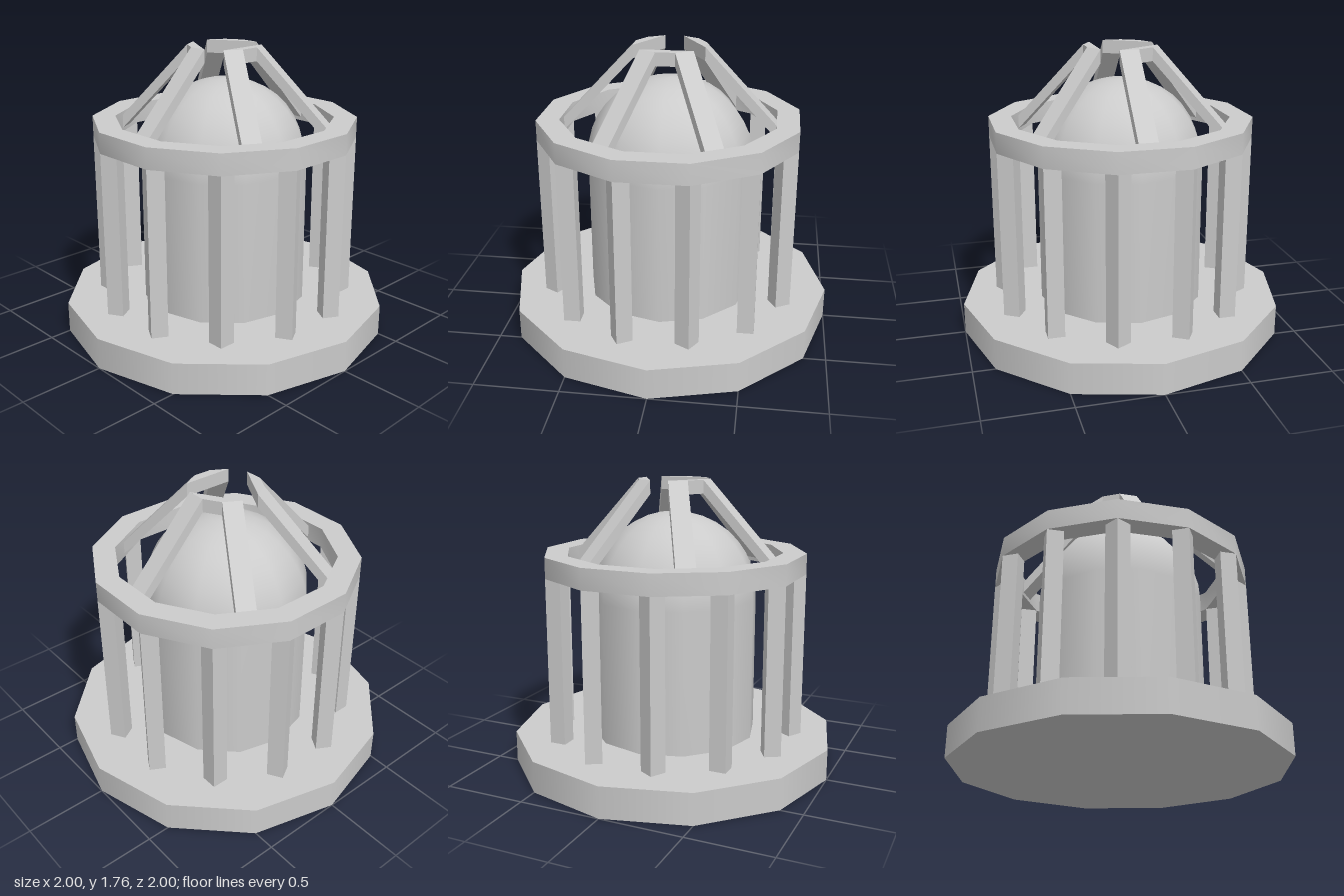
import * as THREE from 'three';
import { toCreasedNormals } from 'three/addons/utils/BufferGeometryUtils.js';

const SIDES = 12;
const smooth = new THREE.MeshStandardMaterial({ color: 0xcccccc });
const flat = new THREE.MeshStandardMaterial({ color: 0xcccccc, flatShading: true });
const v2 = (x, y) => new THREE.Vector2(x, y);

function add(parent, name, geometry, material) {
  const mesh = new THREE.Mesh(geometry, material);
  mesh.name = name;
  parent.add(mesh);
  return mesh;
}

function extrude(points, depth) {
  const shape = new THREE.Shape(points.map(([x, y]) => v2(x, y)));
  return new THREE.ExtrudeGeometry(shape, { depth, bevelEnabled: false });
}

export function createModel() {
  const model = new THREE.Group();
  model.name = 'cagedDome';

  // Twelve-sided foot
  add(model, 'base', new THREE.CylinderGeometry(1, 1, 0.19, SIDES), smooth).position.y = 0.095;

  // Domed cylinder in the middle
  const profile = [v2(0.512, 0.18)];
  for (let i = 0; i <= 9; i++) {
    const a = (i / 9) * Math.PI / 2;
    profile.push(v2(0.512 * Math.cos(a), 1.05 + 0.515 * Math.sin(a)));
  }
  add(model, 'domedCore', new THREE.LatheGeometry(profile, SIDES), smooth);

  // Ring carried by the posts, turned half a side from the base
  const ringProfile = [v2(0.663, 1.2), v2(0.802, 1.2), v2(0.802, 1.325), v2(0.663, 1.325), v2(0.663, 1.2)];
  const ring = new THREE.LatheGeometry(ringProfile, SIDES, Math.PI / SIDES);
  add(model, 'ring', toCreasedNormals(ring, 0.7), smooth);

  // Square posts with an edge facing outwards, one under each ring corner
  const postGeometry = new THREE.CylinderGeometry(0.07, 0.07, 1.01, 4);
  for (let i = 0; i < SIDES; i++) {
    const a = ((i + 0.5) / SIDES) * Math.PI * 2;
    const post = add(model, 'post', postGeometry, flat);
    post.position.set(0.7325 * Math.sin(a), 0.695, 0.7325 * Math.cos(a));
    post.rotation.y = a;
  }

  // Sloping struts from the ring towards the top
  const width = 0.114;
  const strutGeometry = extrude([[0.66, 1.202], [0.66, 1.282], [0.212, 1.76], [0.212, 1.68]], width);
  strutGeometry.translate(0, 0, -width / 2);
  for (let i = 0; i < 6; i++) {
    add(model, 'strut', strutGeometry, flat).rotation.y = Math.PI / 6 + i * Math.PI / 3;
  }

  // Flat bridges joining the struts in pairs
  const bridgeGeometry = extrude([[0.155, -0.155], [0.212, -0.057], [0.212, 0.057], [0.155, 0.155]], 0.08);
  bridgeGeometry.rotateX(-Math.PI / 2).translate(0, 1.68, 0);
  for (let i = 0; i < 3; i++) {
    add(model, 'bridge', bridgeGeometry, flat).rotation.y = i * Math.PI * 2 / 3;
  }

  return model;
}
